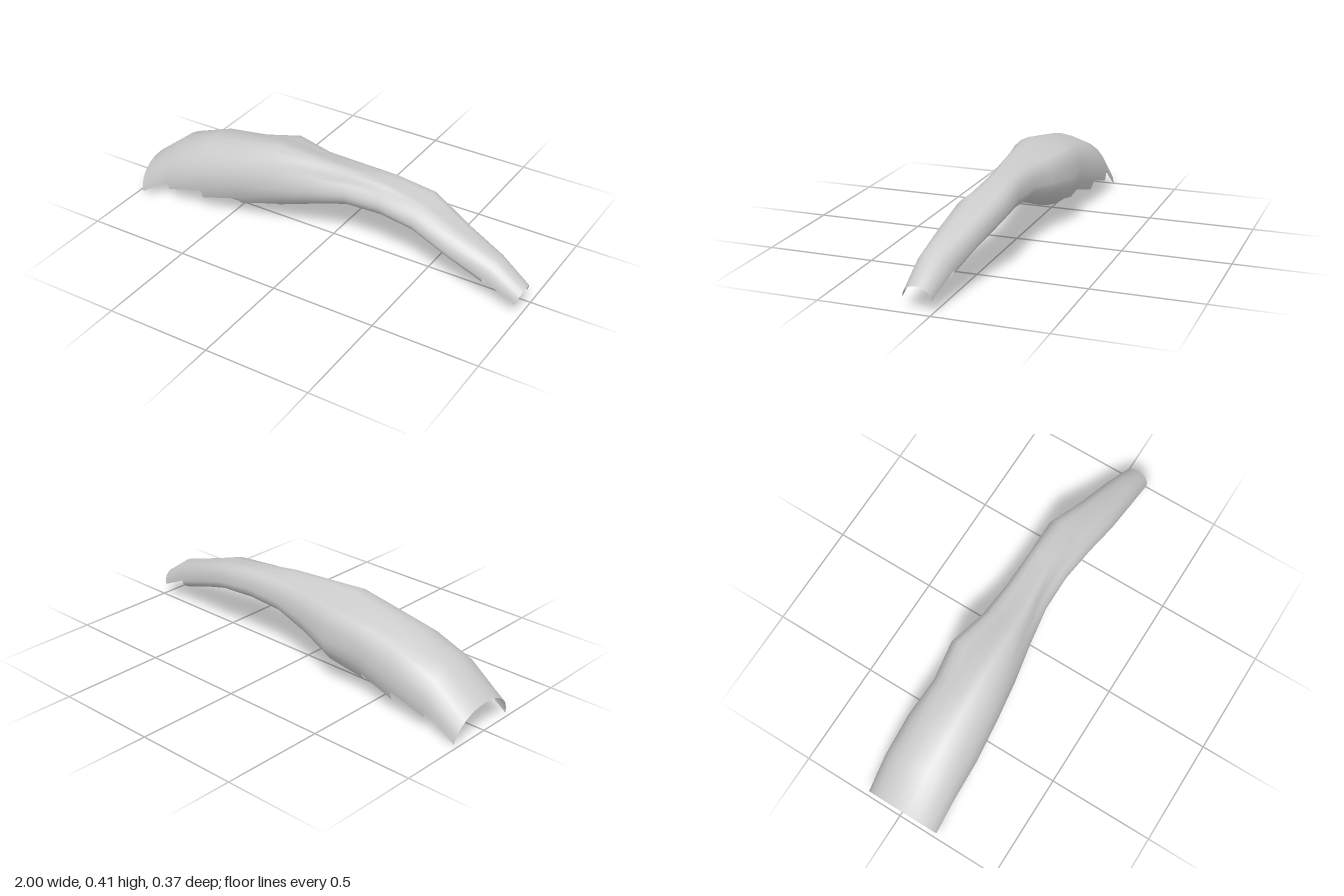
import * as THREE from 'three';

const SEG = 24; // points around each ring, 15 degrees apart

// Rings along the limb: x at mid height, tilt (x shift of the top),
// back z, front z, ridge z, mid y, top y, bottom y, squareness of back shoulder,
// angle of the groove along the top (degrees, front positive), its depth,
// depth of the fold along the front
const RINGS = [
  [-0.98, -0.02, -0.18, 0.182, 0.0, 0.0, 0.135, -0.13, 1, -25, 0, 0],
  [-0.82, -0.01, -0.185, 0.184, 0.0, 0.11, 0.27, -0.06, 0.95, -25, 0, 0],
  [-0.63, -0.01, -0.185, 0.183, 0.0, 0.168, 0.345, -0.025, 0.9, -25, 0.005, 0],
  [-0.44, -0.01, -0.168, 0.168, 0.0, 0.215, 0.383, 0.03, 0.9, -25, 0.018, 0],
  [-0.26, -0.01, -0.19, 0.146, 0.0, 0.238, 0.419, 0.085, 0.72, -22, 0.034, 0],
  [-0.08, 0, -0.142, 0.113, 0.005, 0.258, 0.408, 0.15, 0.85, -22, 0.025, 0.008],
  [0.1, 0, -0.12, 0.088, 0.0, 0.285, 0.4, 0.208, 0.82, -15, 0.022, 0.018],
  [0.28, 0, -0.115, 0.088, -0.015, 0.29, 0.386, 0.217, 0.8, 0, 0.02, 0.014],
  [0.46, 0.02, -0.12, 0.108, -0.01, 0.27, 0.358, 0.21, 0.8, 8, 0.018, 0.006],
  [0.64, 0.035, -0.07, 0.123, 0.02, 0.2, 0.28, 0.15, 0.9, 0, 0.008, 0],
  [0.82, 0.045, -0.033, 0.128, 0.05, 0.137, 0.212, 0.085, 1, 0, 0, 0],
  [0.98, 0.02, 0.0, 0.127, 0.063, 0.058, 0.118, 0.01, 1, 0, 0, 0],
];

// How many 15-degree steps each span reaches down from the ridge (12 = closed).
// The changing reach gives the stepped, torn lower edge.
const REACH = [6, 7, 8, 9, 12, 12, 12, 12, 12, 12, 6];

// Smooth dip centred on an angle
const dip = (degrees, centre) => Math.exp(-(((degrees - centre) / 18) ** 2));

function ringPoint(ring, j) {
  const [x, tilt, zBack, zFront, zRidge, yMid, yTop, yBot, square, groove, depth, fold] = ring;
  const degrees = (j > SEG / 2 ? j - SEG : j) * (360 / SEG);
  const a = THREE.MathUtils.degToRad(degrees);
  const s = Math.sin(a), c = Math.cos(a);
  const up = Math.max(0, c);
  const e = s < 0 && c > 0 ? square : 1;
  const sz = Math.sign(s) * Math.pow(Math.abs(s), e);
  const cy = Math.sign(c) * Math.pow(Math.abs(c), e);
  const zMid = (zBack + zFront) / 2;
  const crease = fold * dip(degrees, 50);
  return [
    x + tilt * up,
    yMid + cy * (c > 0 ? yTop - yMid : yMid - yBot) - depth * dip(degrees, groove) - crease,
    zMid + sz * (zFront - zBack) / 2 + (zRidge - zMid) * up * up - crease,
  ];
}

export function createModel() {
  const group = new THREE.Group();
  group.name = 'limbShell';

  const positions = [];
  for (const ring of RINGS)
    for (let j = 0; j < SEG; j++) positions.push(...ringPoint(ring, j));

  // Join neighbouring rings only as far round as each span reaches
  const index = [];
  REACH.forEach((reach, i) => {
    for (let j = -reach; j < reach; j++) {
      const j0 = (j + SEG) % SEG, j1 = (j + 1 + SEG) % SEG;
      const a = i * SEG + j0, c = i * SEG + j1;
      const b = a + SEG, d = c + SEG;
      index.push(a, c, b, b, c, d);
    }
  });

  const geometry = new THREE.BufferGeometry();
  geometry.setAttribute('position', new THREE.Float32BufferAttribute(positions, 3));
  geometry.setIndex(index);
  geometry.computeVertexNormals();

  const material = new THREE.MeshStandardMaterial({ color: 0xcccccc, side: THREE.DoubleSide });
  // Non-indexed, so that unused ring points are left out
  const shell = new THREE.Mesh(geometry.toNonIndexed(), material);
  shell.name = 'archedSleeve';
  group.add(shell);
  return group;
}
